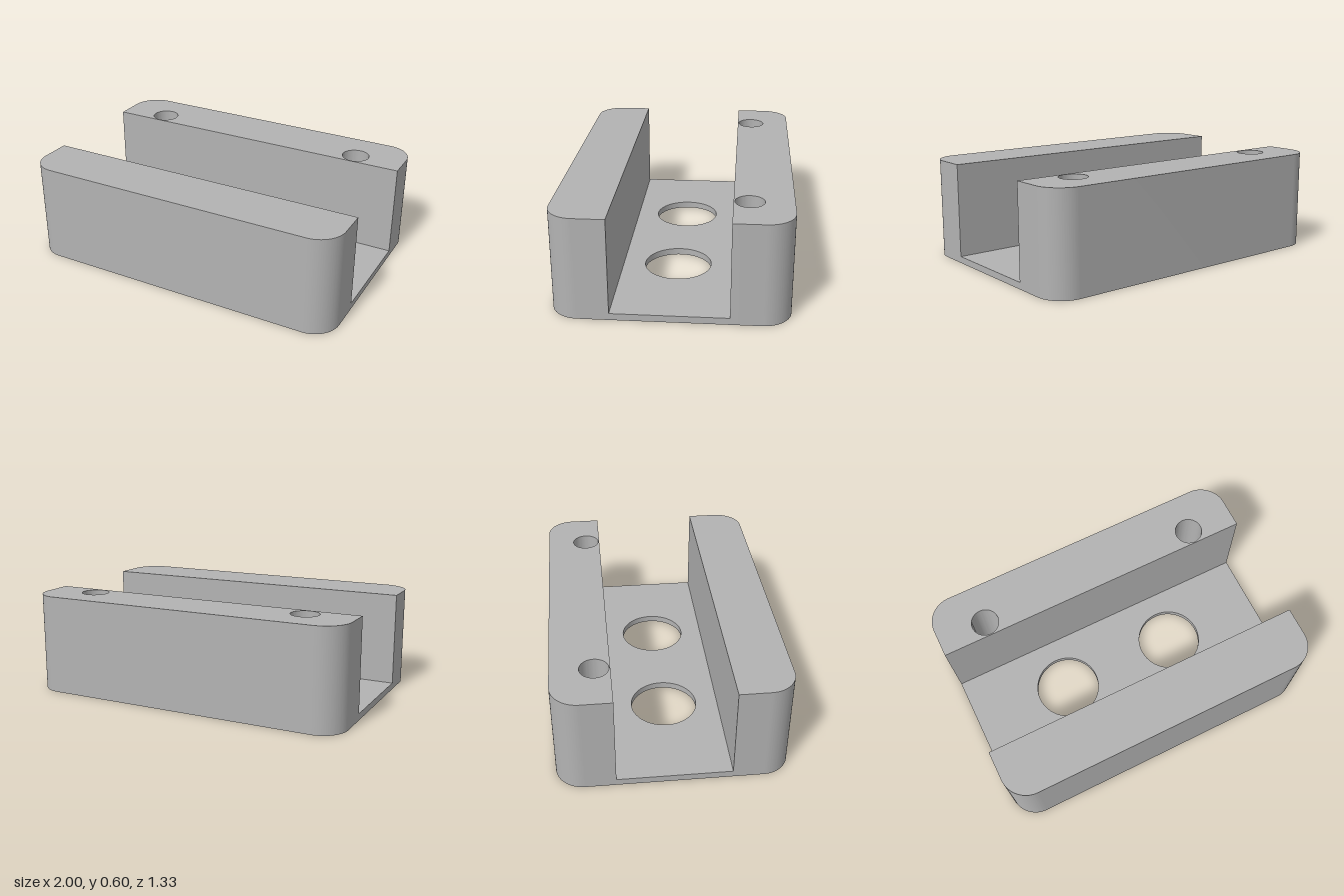
import * as THREE from 'three';
import { toCreasedNormals } from 'three/addons/utils/BufferGeometryUtils.js';

const HALF_X = 1, HALF_Z = 0.667, HEIGHT = 0.6;
const CHANNEL = 0.33, FLOOR = 0.04, CORNER = 0.16;

// Extrude a plan outline (shape y = -z) upwards from the ground, with round through-holes
function slab(shape, height, holes) {
  for (const [x, y, r] of holes) {
    shape.holes.push(new THREE.Path().absarc(x, y, r, 0, Math.PI * 2, true));
  }
  const geometry = new THREE.ExtrudeGeometry(shape, { depth: height, bevelEnabled: false, curveSegments: 32 });
  geometry.rotateX(-Math.PI / 2);
  return toCreasedNormals(geometry, 0.5);
}

// Rail outline: square along the channel, rounded at the two outer corners
function railShape() {
  const s = new THREE.Shape();
  s.moveTo(-HALF_X, CHANNEL);
  s.lineTo(HALF_X, CHANNEL);
  s.lineTo(HALF_X, HALF_Z - CORNER);
  s.absarc(HALF_X - CORNER, HALF_Z - CORNER, CORNER, 0, Math.PI / 2, false);
  s.lineTo(-HALF_X + CORNER, HALF_Z);
  s.absarc(-HALF_X + CORNER, HALF_Z - CORNER, CORNER, Math.PI / 2, Math.PI, false);
  s.closePath();
  return s;
}

// Thin floor outline between the rails
function floorShape() {
  const s = new THREE.Shape();
  s.moveTo(-HALF_X, -CHANNEL);
  s.lineTo(HALF_X, -CHANNEL);
  s.lineTo(HALF_X, CHANNEL);
  s.lineTo(-HALF_X, CHANNEL);
  s.closePath();
  return s;
}

export function createModel() {
  const group = new THREE.Group();
  group.name = 'channelBlock';
  const grey = new THREE.MeshStandardMaterial({ color: 0xb3b3b3 });
  grey.name = 'grey';

  const add = (name, geometry) => {
    const mesh = new THREE.Mesh(geometry, grey);
    mesh.name = name;
    group.add(mesh);
    return mesh;
  };

  // Back rail with two vertical screw holes
  add('backRail', slab(railShape(), HEIGHT, [-1, 1].map((s) => [s * 0.7, 0.42, 0.083])));

  // Plain front rail, the same outline turned round
  add('frontRail', slab(railShape(), HEIGHT, [])).rotation.y = Math.PI;

  // Channel floor with two large holes
  add('channelFloor', slab(floorShape(), FLOOR, [-1, 1].map((s) => [s * 0.375, 0, 0.2])));

  return group;
}
